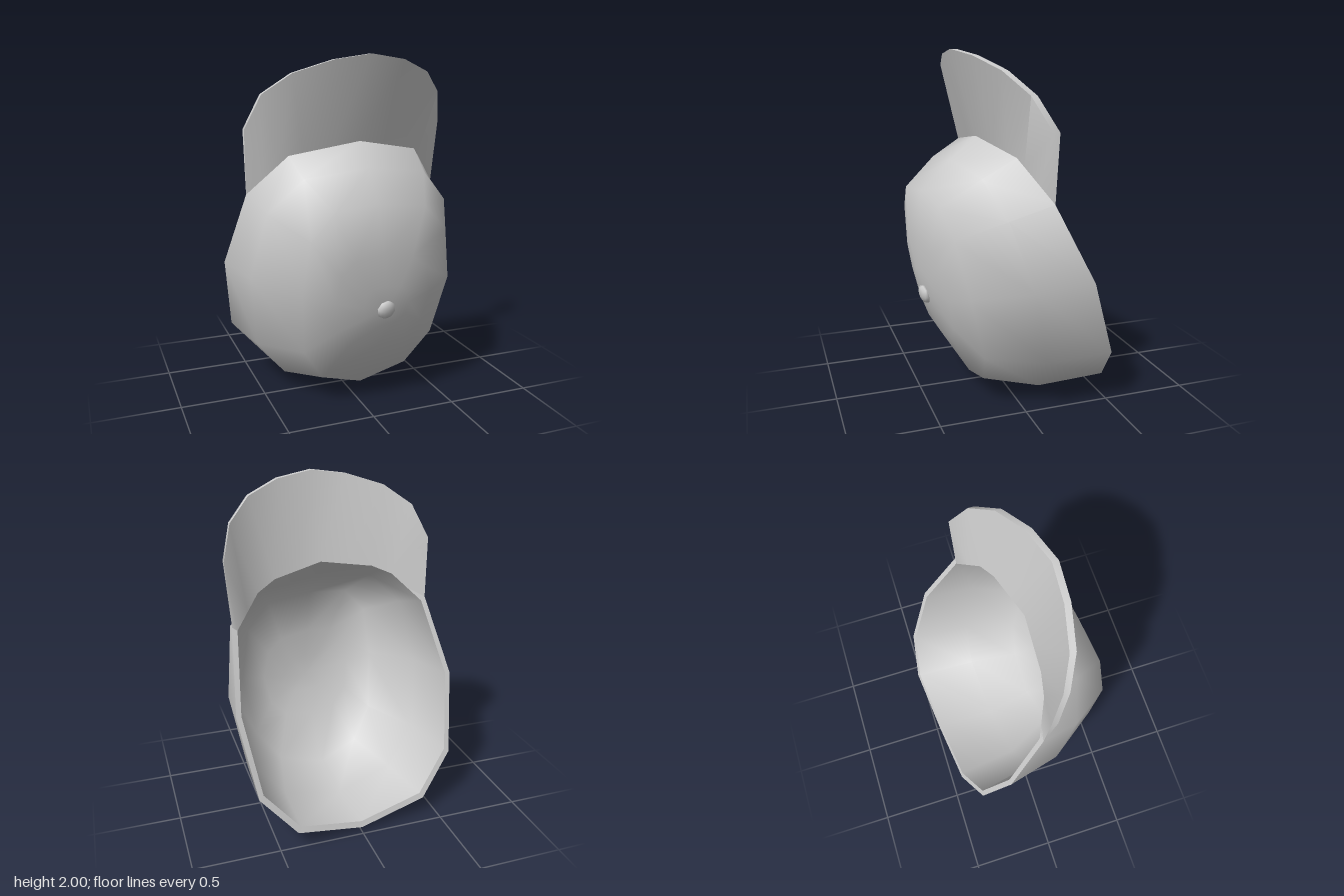
import * as THREE from 'three';
import { toCreasedNormals } from 'three/addons/utils/BufferGeometryUtils.js';

const V = (x, y, z) => new THREE.Vector3(x, y, z);
const SIDES = 12;

// Skins a list of rows of points, leaving out collapsed triangles
function loft(rows) {
  const pos = [];
  const tri = (...p) => {
    const area = p[1].clone().sub(p[0]).cross(p[2].clone().sub(p[0])).length();
    if (area > 1e-7) p.forEach(q => pos.push(q.x, q.y, q.z));
  };
  for (let i = 0; i < rows.length - 1; i++) {
    for (let j = 0; j < rows[i].length - 1; j++) {
      const a = rows[i][j], b = rows[i][j + 1];
      const c = rows[i + 1][j + 1], d = rows[i + 1][j];
      tri(a, b, c);
      tri(a, c, d);
    }
  }
  const geo = new THREE.BufferGeometry();
  geo.setAttribute('position', new THREE.Float32BufferAttribute(pos, 3));
  return toCreasedNormals(geo, 1.1);
}

// Rounded ring through its left, top, right and bottom points
function ring({ left, top, right, bottom }, scale = 1, push = V(0, 0, 0)) {
  const mid = V(0, 0, 0).add(left).add(top).add(right).add(bottom).multiplyScalar(0.25);
  const pts = [];
  for (let j = 0; j <= SIDES; j++) {
    const a = ((j % SIDES) / SIDES) * Math.PI * 2;
    const c = Math.cos(a), s = Math.sin(a);
    const side = (c > 0 ? right : left).clone().sub(mid);
    const end = (s > 0 ? top : bottom).clone().sub(mid);
    pts.push(mid.clone()
      .addScaledVector(side, scale * Math.abs(c) ** 0.75)
      .addScaledVector(end, scale * Math.abs(s) ** 0.75)
      .add(push));
  }
  return pts;
}

export function createModel() {
  const group = new THREE.Group();
  const material = new THREE.MeshStandardMaterial({ color: 0xcccccc, side: THREE.DoubleSide });
  const add = (name, geo) => {
    const mesh = new THREE.Mesh(geo, material);
    mesh.name = name;
    group.add(mesh);
    return mesh;
  };

  // Crown sections from the rim to the tip
  const apex = V(0.08, 0.63, 0.47);
  const axis = V(0.12, -0.25, 0.96).normalize();
  const sections = [
    { left: V(-0.68, 0.80, -0.17), top: V(0.05, 1.52, 0.15), right: V(0.68, 0.79, -0.32), bottom: V(0, 0.03, -0.48) },
    { left: V(-0.60, 0.78, 0.14), top: V(0.04, 1.39, 0.30), right: V(0.66, 0.76, 0.01), bottom: V(0.01, 0.00, -0.09) },
    { left: V(-0.39, 0.74, 0.43), top: V(0.03, 1.22, 0.47), right: V(0.54, 0.72, 0.33), bottom: V(0.04, 0.08, 0.20) },
    { left: V(-0.22, 0.69, 0.48), top: V(0.05, 0.94, 0.50), right: V(0.38, 0.67, 0.41), bottom: V(0.06, 0.37, 0.38) },
    { left: V(-0.06, 0.65, 0.485), top: V(0.07, 0.76, 0.49), right: V(0.23, 0.64, 0.45), bottom: V(0.07, 0.52, 0.44) },
    { left: apex, top: apex, right: apex, bottom: apex },
  ];
  const outer = sections.map(s => ring(s));
  const inner = sections.map((s, i) =>
    ring(s, 0.955, axis.clone().multiplyScalar(-0.04 * Math.min(1, i / 3))));
  add('crown', loft([...inner.slice().reverse(), ...outer]));

  // Brim, curved between the top of the rim and its rounded front edge
  const rootAt = (row, t) => {
    const k = Math.min(Math.floor(t * 4), 3);
    return row[1 + k].clone().lerp(row[2 + k], t * 4 - k);
  };
  const frontEdge = [
    outer[0][1].clone(),
    V(0.66, 1.60, -0.07), V(0.60, 1.78, 0.03), V(0.47, 1.90, 0.14), V(0.28, 1.97, 0.235),
    V(0.06, 2.00, 0.295),
    V(-0.15, 1.97, 0.285), V(-0.37, 1.90, 0.24), V(-0.52, 1.79, 0.165), V(-0.60, 1.60, 0.09),
    outer[0][5].clone(),
  ];
  const last = frontEdge.length - 1;
  const backEdge = frontEdge.map((p, j) =>
    p.clone().add(V(0, 0, j === 0 || j === last ? 0 : -0.035)));
  const backRoot = frontEdge.map((p, j) => rootAt(inner[0], j / last));
  const frontRoot = frontEdge.map((p, j) => rootAt(outer[0], j / last));
  add('brim', loft([backRoot, backEdge, frontEdge, frontRoot]));

  // Button at the tip of the crown
  const button = add('button', new THREE.SphereGeometry(0.057, 8, 6));
  button.scale.y = 0.5;
  button.quaternion.setFromUnitVectors(V(0, 1, 0), axis);
  button.position.set(0.08, 0.62, 0.475);

  return group;
}
